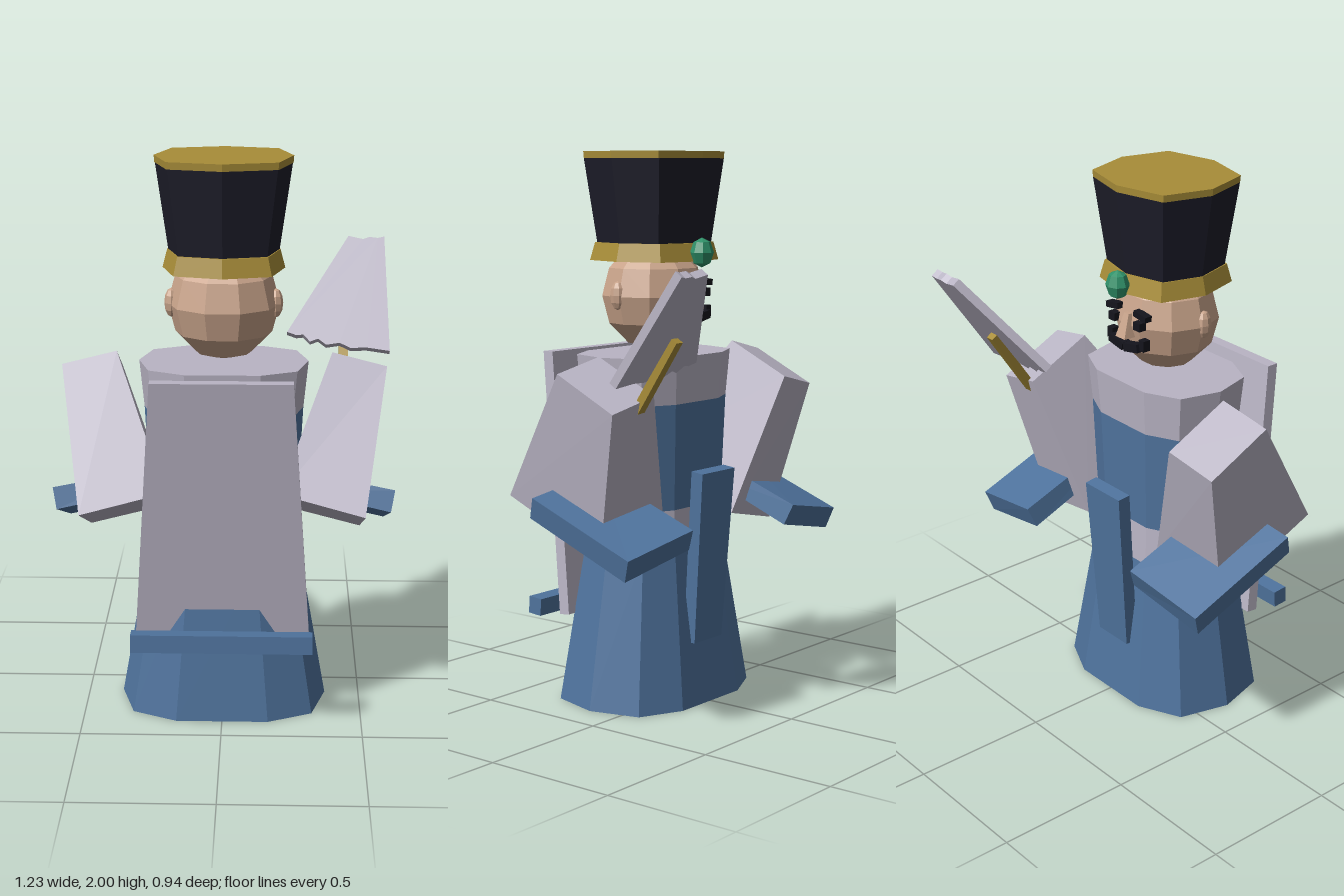
import * as THREE from 'three';

const mat = (name, color) => {
  const m = new THREE.MeshStandardMaterial({ color, flatShading: true });
  m.name = name;
  return m;
};

export function createModel() {
  const root = new THREE.Group();
  const blue = mat('coat blue', 0x4f739d);
  const grey = mat('pale grey', 0xb9b4c4);
  const gold = mat('gold', 0xa88d38);
  const black = mat('hat black', 0x1d1d29);
  const skin = mat('skin', 0xc9a48b);
  const green = mat('pompom green', 0x2f9169);
  const dark = mat('hair black', 0x14141c);
  const midZ = 0.125;

  function add(name, geometry, material, x = 0, y = 0, z = 0, parent = root) {
    const m = new THREE.Mesh(geometry, material);
    m.name = name;
    m.position.set(x, y, z);
    parent.add(m);
    return m;
  }

  // Tapered section with a squarish oval outline
  function section(name, material, y0, y1, r0, r1, sides, depth) {
    const start = sides === 10 ? Math.PI / 10 : 0;
    const g = new THREE.CylinderGeometry(r1, r0, y1 - y0, sides, 1, false, start);
    const p = g.attributes.position;
    const square = (c) => Math.sign(c) * Math.pow(Math.abs(c), 0.7);
    for (let i = 0; i < p.count; i++) {
      const r = Math.hypot(p.getX(i), p.getZ(i));
      if (r < 1e-6) continue;
      p.setX(i, square(p.getX(i) / r) * r);
      p.setZ(i, square(p.getZ(i) / r) * r * depth);
    }
    g.computeVertexNormals();
    return add(name, g, material, 0, (y0 + y1) / 2, midZ);
  }

  // Six-sided block from 8 corners: ring a, then the matching ring b
  function block(name, material, a, b) {
    const c = [...a, ...b];
    const faces = [[3, 2, 1, 0], [4, 5, 6, 7]];
    for (let i = 0; i < 4; i++) {
      const j = (i + 1) % 4;
      faces.push([i, j, j + 4, i + 4]);
    }
    // Reverse the corner order when the rings were listed the other way round
    const v = c.map((q) => new THREE.Vector3(...q));
    const up = v[4].clone().sub(v[0]);
    const n = v[5].clone().sub(v[4]).cross(v[6].clone().sub(v[4]));
    const flip = n.dot(up) < 0;
    const pos = [];
    for (const f of faces) {
      const q = flip ? [...f].reverse() : f;
      for (const k of [0, 1, 2, 0, 2, 3]) pos.push(...c[q[k]]);
    }
    const g = new THREE.BufferGeometry();
    g.setAttribute('position', new THREE.Float32BufferAttribute(pos, 3));
    g.computeVertexNormals();
    return add(name, g, material);
  }

  // Body
  section('skirt', blue, 0, 0.57, 0.375, 0.274, 10, 0.727);
  section('belt', grey, 0.57, 0.72, 0.274, 0.264, 10, 0.727);
  section('chest', blue, 0.72, 1.105, 0.264, 0.283, 10, 0.727);
  section('shoulders', grey, 1.105, 1.275, 0.283, 0.3, 10, 0.727);

  // Leaning slab and floating bar on the +z side
  block('slab', grey,
    [[-0.31, 0.32, 0.28], [0.31, 0.32, 0.28], [0.31, 0.315, 0.324], [-0.31, 0.315, 0.324]],
    [[-0.245, 1.275, 0.408], [0.245, 1.275, 0.408], [0.245, 1.275, 0.452], [-0.245, 1.275, 0.452]]);
  add('bar', new THREE.BoxGeometry(0.64, 0.064, 0.058), blue, 0, 0.33, 0.44).rotation.x = -0.08;

  // Strip hanging on the -z side
  block('tailStrip', blue,
    [[-0.08, 0.23, -0.125], [0.08, 0.23, -0.125], [0.08, 0.23, -0.075], [-0.08, 0.23, -0.075]],
    [[-0.095, 0.86, -0.172], [0.095, 0.86, -0.172], [0.095, 0.866, -0.122], [-0.095, 0.866, -0.122]]);

  // Arms with wide sleeves and cuffs
  for (const s of [1, -1]) {
    const m = (pts) => pts.map(([x, y, z]) => [x * s, y, z]);
    const side = s > 0 ? 'left' : 'right';
    block(side + 'Sleeve', grey,
      m([[0.5, 0.78, 0.386], [0.2, 0.85, 0.345], [0.2, 0.665, -0.08], [0.5, 0.6, -0.04]]),
      m([[0.58, 1.245, 0.08], [0.385, 1.29, 0.06], [0.385, 1.17, -0.187], [0.58, 1.125, -0.167]]));
    block(side + 'Cuff', blue,
      m([[0.6, 0.735, 0.195], [0.285, 0.8, 0.165], [0.285, 0.63, -0.26], [0.6, 0.567, -0.235]]),
      m([[0.615, 0.81, 0.17], [0.3, 0.865, 0.14], [0.3, 0.705, -0.29], [0.615, 0.645, -0.262]]));
  }

  // Blade, leaning back, with a ragged lower edge
  const outline = [[0.605, -0.005], [0.59, 0.458], [0.565, 0.452], [0.535, 0.456], [0.51, 0.447],
    [0.455, 0.46], [0.225, 0.068], [0.26, 0.055], [0.285, 0.058], [0.31, 0.03], [0.34, 0.042],
    [0.37, 0.018], [0.42, 0.026], [0.46, 0.006], [0.52, 0.008]];
  const shape = new THREE.Shape(outline.map(([x, y]) => new THREE.Vector2(x, y)));
  const blade = new THREE.ExtrudeGeometry(shape, { depth: 0.032, bevelEnabled: false });
  blade.translate(0, 0, -0.032);
  add('blade', blade, grey, 0, 1.24, -0.18).rotation.x = -0.615;
  const grip = add('handle', new THREE.BoxGeometry(0.034, 0.31, 0.03), gold, 0.435, 1.245, -0.24);
  grip.rotation.x = -0.59;

  // Head and ears
  const ball = (name, material, w, h, rx, ry, rz, x, y, z) =>
    add(name, new THREE.SphereGeometry(1, w, h).scale(rx, ry, rz), material, x, y, z);
  ball('head', skin, 10, 6, 0.197, 0.2, 0.188, 0, 1.483, 0.129);
  for (const s of [1, -1]) {
    ball('ear', skin, 8, 6, 0.025, 0.052, 0.03, s * 0.183, 1.488, 0.145);
    // Brow, eye and half of the moustache
    add('brow', new THREE.BoxGeometry(0.065, 0.022, 0.03), dark, s * 0.075, 1.535, -0.045).rotation.z = s * -0.15;
    add('eye', new THREE.BoxGeometry(0.035, 0.03, 0.03), dark, s * 0.068, 1.497, -0.052);
    add('moustache', new THREE.BoxGeometry(0.075, 0.03, 0.036), dark, s * 0.04, 1.41, -0.055).rotation.z = s * 0.2;
    add('moustacheTip', new THREE.BoxGeometry(0.028, 0.04, 0.03), dark, s * 0.085, 1.428, -0.045);
  }
  block('nose', skin,
    [[-0.025, 1.44, -0.085], [0.025, 1.44, -0.085], [0.03, 1.44, -0.03], [-0.03, 1.44, -0.03]],
    [[-0.012, 1.525, -0.055], [0.012, 1.525, -0.055], [0.015, 1.525, -0.03], [-0.015, 1.525, -0.03]]);

  // Tall hat
  section('hatBand', gold, 1.61, 1.675, 0.214, 0.197, 8, 0.98);
  section('hat', black, 1.675, 1.975, 0.194, 0.237, 8, 0.94);
  section('hatTrim', gold, 1.975, 2, 0.239, 0.241, 8, 0.925);
  ball('pompom', green, 8, 4, 0.045, 0.053, 0.042, 0, 1.642, -0.094);

  return root;
}
